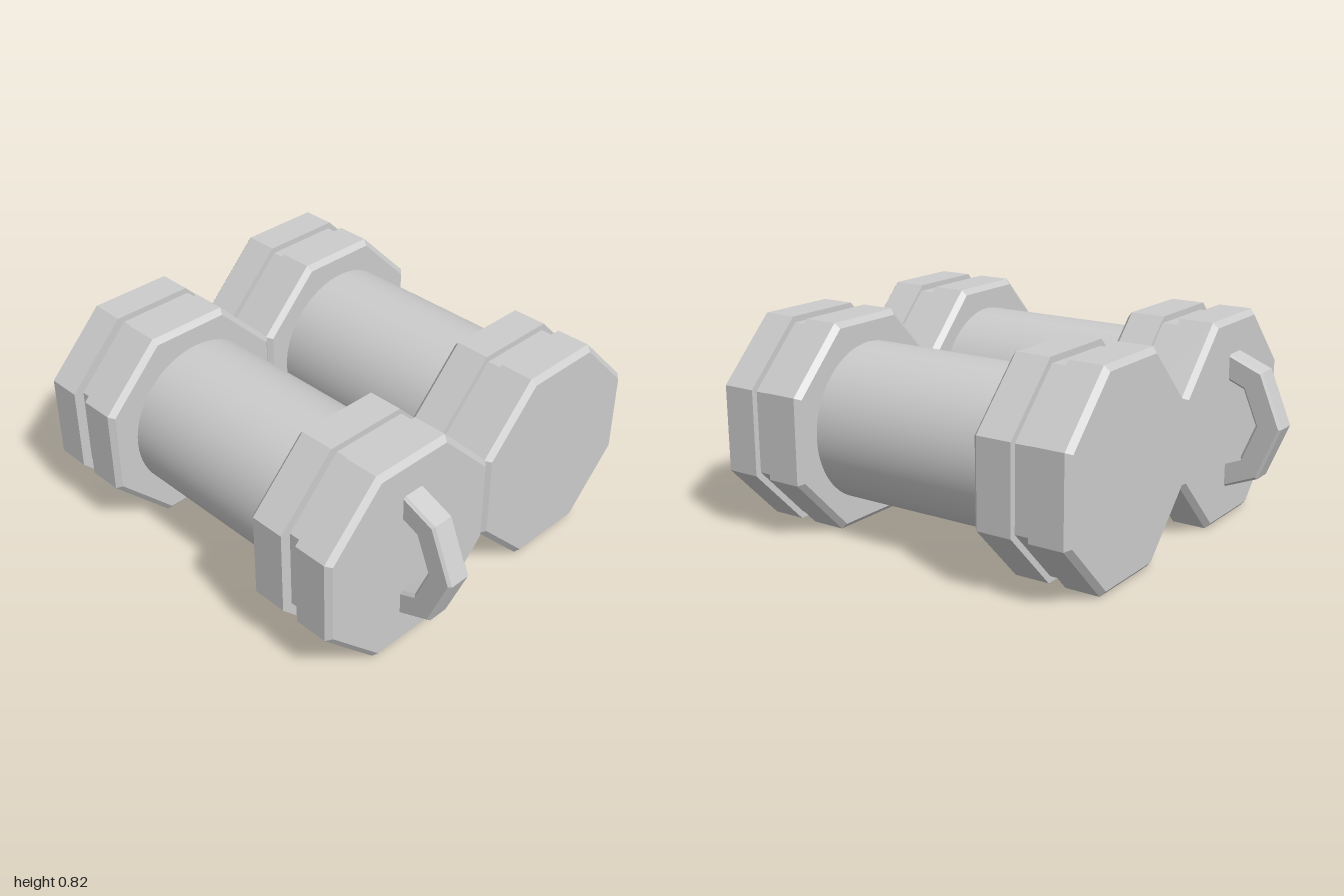
import * as THREE from 'three';

const grey = new THREE.MeshStandardMaterial({ color: 0xcccccc });
const greyFlat = new THREE.MeshStandardMaterial({ color: 0xcccccc, flatShading: true });
const CORNER = 1 / Math.cos(Math.PI / 8); // octagon apothem to corner radius

function named(name, geometry, material) {
  const mesh = new THREE.Mesh(geometry, material);
  mesh.name = name;
  return mesh;
}

// Solid octagonal prism along x from [x, apothem] pairs, lying on a flat side
function octagon(profile) {
  const points = profile.map(([x, a]) => new THREE.Vector2(a * CORNER, x));
  return new THREE.LatheGeometry(points, 8, Math.PI / 8)
    .rotateZ(-Math.PI / 2)
    .scale(1, 1.008, 0.995);
}

// Half of an octagonal ring, its open ends sunk into the head
function handleGeometry() {
  const arc = (r) => [-2, -1, 0, 1, 2].map((i) => new THREE.Vector2(
    0.7 + r * Math.cos(i * Math.PI / 4), r * Math.sin(i * Math.PI / 4)));
  const shape = new THREE.Shape([...arc(0.29), ...arc(0.205).reverse()]);
  return new THREE.ExtrudeGeometry(shape, {
    depth: 0.08, bevelEnabled: true, bevelSize: 0.01, bevelThickness: 0.01, bevelSegments: 1,
  }).translate(0, 0, -0.04);
}

// coreShift moves the grip and groove cores slightly off the plates' axis
function createDumbbell(name, coreShift, hasHandles) {
  const dumbbell = new THREE.Group();
  dumbbell.name = name;

  const grip = named('grip', new THREE.CylinderGeometry(0.31, 0.31, 0.8, 64, 1, true).rotateZ(Math.PI / 2), grey);
  grip.position.z = coreShift;
  dumbbell.add(grip);

  const innerPlate = octagon([[0.39, 0], [0.39, 0.385], [0.41, 0.406], [0.55, 0.406], [0.55, 0]]);
  const outerPlate = octagon([[0.62, 0], [0.62, 0.406], [0.757, 0.406], [0.777, 0.385], [0.777, 0]]);
  const core = octagon([[0.54, 0.382], [0.63, 0.382]]);

  for (const side of [1, -1]) {
    const head = new THREE.Group();
    head.name = side > 0 ? 'leftHead' : 'rightHead';
    head.rotation.y = side > 0 ? 0 : Math.PI;
    const groove = named('grooveCore', core, greyFlat);
    groove.position.z = coreShift * side;
    head.add(
      named('innerPlate', innerPlate, greyFlat),
      named('outerPlate', outerPlate, greyFlat),
      groove,
    );
    if (hasHandles) head.add(named('handle', handleGeometry(), greyFlat));
    dumbbell.add(head);
  }
  return dumbbell;
}

export function createModel() {
  const model = new THREE.Group();
  model.name = 'dumbbellPair';
  const front = createDumbbell('frontDumbbell', -0.017, true);
  front.position.set(0, 0.409, 0.401);
  const back = createDumbbell('backDumbbell', 0, false);
  back.position.set(0, 0.409, -0.401);
  model.add(front, back);
  return model;
}
